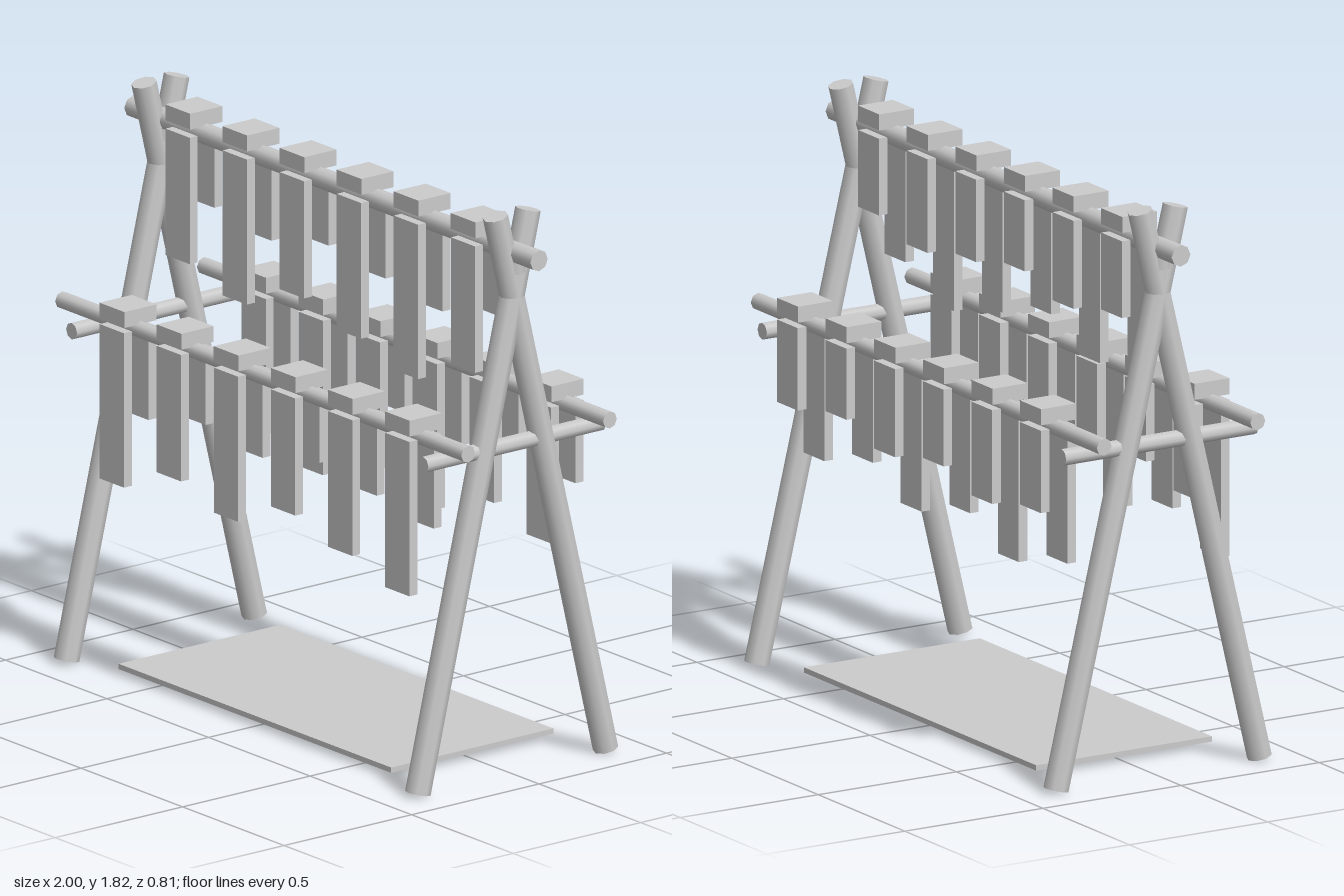
import * as THREE from 'three';

const mat = new THREE.MeshStandardMaterial({ color: 0xcccccc });

export function createModel() {
  const root = new THREE.Group();

  const add = (name, geo, x, y, z) => {
    const m = new THREE.Mesh(geo, mat);
    m.name = name;
    m.position.set(x, y, z);
    root.add(m);
    return m;
  };
  const box = (name, w, h, d, x, y, z) => add(name, new THREE.BoxGeometry(w, h, d), x, y, z);

  // Round pole running from point a to point b
  const pole = (name, a, b, r) => {
    const from = new THREE.Vector3(...a), to = new THREE.Vector3(...b);
    const dir = to.clone().sub(from);
    const mid = from.clone().add(to).multiplyScalar(0.5);
    const m = add(name, new THREE.CylinderGeometry(r, r, dir.length(), 8), mid.x, mid.y, mid.z);
    m.quaternion.setFromUnitVectors(new THREE.Vector3(0, 1, 0), dir.normalize());
    return m;
  };

  // Crossed legs, joint and cross arm at each end
  for (const side of [-1, 1]) {
    const x = side * 0.865;
    for (const s of [-1, 1]) {
      pole(s > 0 ? 'frontLeg' : 'backLeg', [x, 0.01, s * 0.368], [x, 1.807, s * -0.064], 0.04);
    }
    add('legJoint', new THREE.CylinderGeometry(0.052, 0.048, 0.08, 8), x, 1.66, 0);
    pole('crossArm', [x, 1.063, -0.348], [x, 1.063, 0.348], 0.027);
  }

  // Board lengths repeat in a cycle of five, each rail starting at a different step
  const lengths = [0.407, 0.467, 0.377, 0.437, 0.497];
  const rails = [
    { name: 'top', y: 1.685, z: 0, r: 0.034, firstX: -0.70, capY: 1.737, start: 0 },
    { name: 'front', y: 1.117, z: 0.278, r: 0.027, firstX: -0.675, capY: 1.16, start: 4 },
    { name: 'back', y: 1.117, z: -0.278, r: 0.027, firstX: -0.675, capY: 1.16, start: 3 },
  ];

  for (const { name, y, z, r, firstX, capY, start } of rails) {
    pole(name + 'Rail', [-1, y, z], [1, y, z], r);
    for (let i = 0; i < 6; i++) {
      const x = firstX + i * 0.281;
      const long = lengths[(start + i) % 5], short = long * 0.6;
      // Cap block over the rail, long board in front of it, short board behind
      box(name + 'Cap', 0.122, 0.051, 0.126, x, capY, z);
      box(name + 'LongBoard', 0.12, long, 0.031, x, y - long / 2, z + 0.048);
      box(name + 'ShortBoard', 0.12, short, 0.031, x, y - short / 2, z - 0.048);
    }
  }

  // Thin mat between the legs
  box('groundMat', 1.342, 0.017, 0.636, 0, 0.026, 0);

  return root;
}
